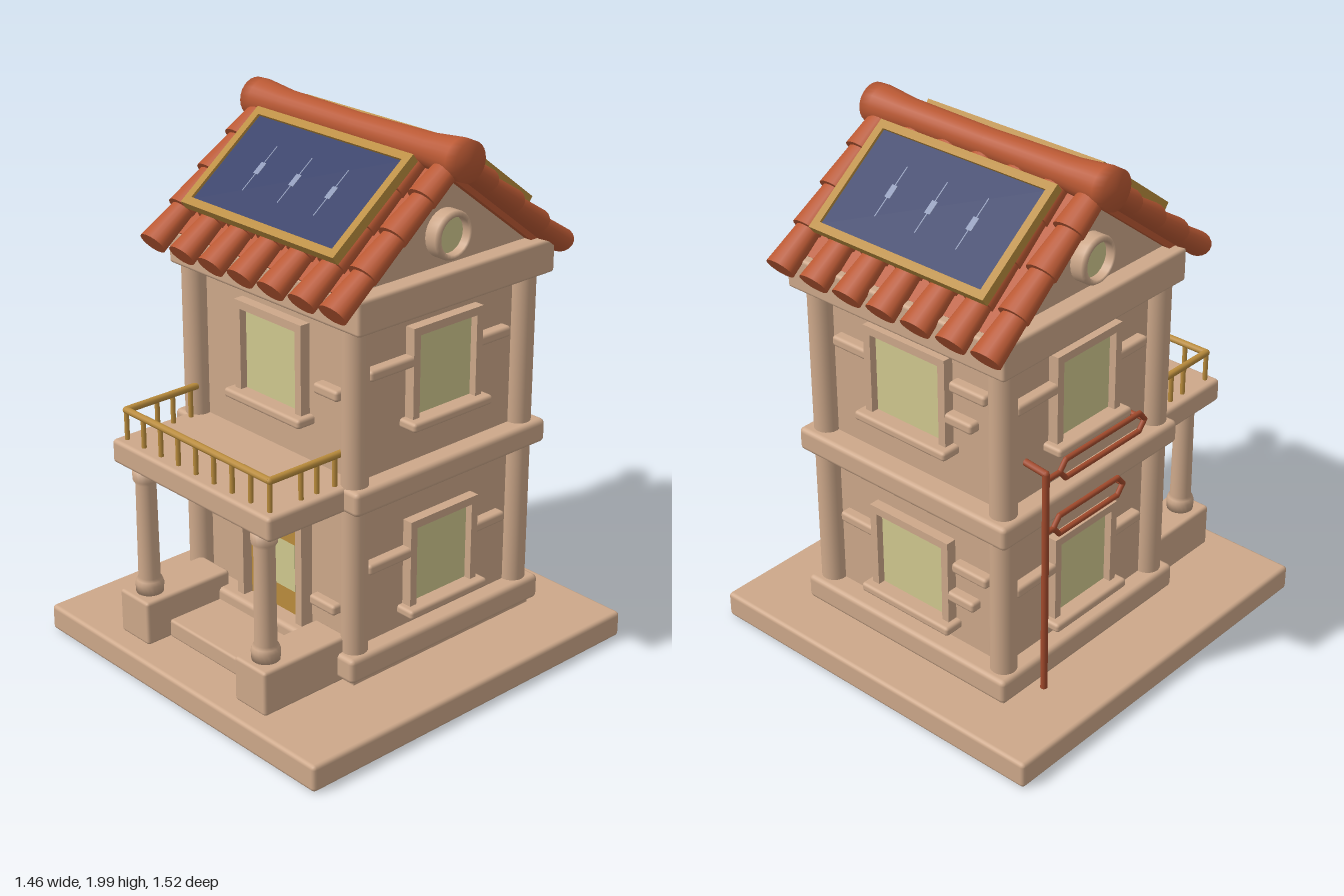
import * as THREE from 'three';
import { RoundedBoxGeometry } from 'three/addons/geometries/RoundedBoxGeometry.js';

const mat = (name, color) => Object.assign(new THREE.MeshStandardMaterial({ color }), { name });

export function createModel() {
  const stone = mat('sandstone', 0xcda88a);
  const clay = mat('terracotta', 0xb95833);
  const rust = mat('rusty pipe', 0xa24a2c);
  const gold = mat('golden trim', 0xba8c3c);
  const navy = mat('solar blue', 0x313b66);
  const glass = mat('pale glass', 0xd0c88e);
  const glint = mat('panel glint', 0x8e99b8);

  const model = new THREE.Group();
  model.name = 'house';
  const group = (name, parent) => {
    const g = new THREE.Group();
    g.name = name;
    parent.add(g);
    return g;
  };
  const add = (parent, name, geo, m, x = 0, y = 0, z = 0) => {
    const mesh = new THREE.Mesh(geo, m);
    mesh.name = name;
    mesh.position.set(x, y, z);
    parent.add(mesh);
    return mesh;
  };
  // box given by its limits on each axis, with optional rounded edges
  const block = (parent, name, m, [x0, x1], [y0, y1], [z0, z1], r = 0) => {
    const s = [x1 - x0, y1 - y0, z1 - z0];
    const geo = r ? new RoundedBoxGeometry(...s, 2, r) : new THREE.BoxGeometry(...s);
    return add(parent, name, geo, m, (x0 + x1) / 2, (y0 + y1) / 2, (z0 + z1) / 2);
  };
  const tube = (parent, name, m, pts, r, closed = false) => {
    const path = new THREE.CurvePath();
    const v = pts.map(p => new THREE.Vector3(...p));
    if (closed) v.push(v[0]);
    for (let i = 1; i < v.length; i++) path.add(new THREE.LineCurve3(v[i - 1], v[i]));
    for (const c of path.curves) {
      const dir = c.v2.clone().sub(c.v1);
      const seg = add(parent, name, new THREE.CylinderGeometry(r, r, dir.length(), 10), m);
      seg.position.copy(c.v1).addScaledVector(dir, 0.5);
      seg.quaternion.setFromUnitVectors(new THREE.Vector3(0, 1, 0), dir.normalize());
      add(parent, name + 'Joint', new THREE.SphereGeometry(r, 10, 6), m, c.v2.x, c.v2.y, c.v2.z);
    }
  };
  // flat rectangular frame facing +z, back at z = 0
  const frame = (parent, name, m, w, h, t, depth, x, y, z) => {
    const rect = (P, a, b) => {
      const p = new P();
      p.moveTo(-a, -b); p.lineTo(a, -b); p.lineTo(a, b); p.lineTo(-a, b); p.closePath();
      return p;
    };
    const s = rect(THREE.Shape, w / 2, h / 2);
    s.holes.push(rect(THREE.Path, w / 2 - t, h / 2 - t));
    return add(parent, name, new THREE.ExtrudeGeometry(s, { depth, bevelEnabled: false }), m, x, y, z);
  };

  // ground slab
  block(model, 'base', stone, [-0.73, 0.73], [0.01, 0.11], [-0.76, 0.76], 0.015);

  // walls, bands and corner posts
  const house = group('building', model);
  house.position.set(-0.01, 0, -0.12);
  block(house, 'walls', stone, [-0.41, 0.41], [0.11, 1.5], [-0.385, 0.385]);
  block(house, 'plinth', stone, [-0.48, 0.48], [0.13, 0.225], [-0.47, 0.47], 0.018);
  block(house, 'footing', stone, [-0.455, 0.455], [0.11, 0.14], [-0.44, 0.44]);
  block(house, 'floorBand', stone, [-0.485, 0.485], [0.77, 0.86], [-0.47, 0.455], 0.018);
  block(house, 'topBand', stone, [-0.49, 0.49], [1.42, 1.545], [-0.475, 0.455], 0.012);
  for (const x of [-0.415, 0.415]) for (const z of [-0.395, 0.4])
    add(house, 'cornerPost', new THREE.CylinderGeometry(0.048, 0.048, 1.32, 20), stone, x, 0.8, z);

  // windows with frame, sill and raised wall courses on both sides
  const windowSet = (angle, dist, w, y, courses, protrude = 0.04) => {
    const g = group('window', house);
    g.rotation.y = angle;
    const face = new THREE.Group();
    face.position.z = dist;
    g.add(face);
    frame(face, 'windowFrame', stone, w + 0.06, 0.36, 0.03, protrude, 0, y, 0);
    block(face, 'windowGlass', glass, [-w / 2, w / 2], [y - 0.15, y + 0.15], [0.003, 0.012]);
    block(face, 'windowSill', stone, [-w / 2 - 0.055, w / 2 + 0.055], [y - 0.185, y - 0.15], [-0.01, 0.075], 0.012);
    for (const [x0, x1, cy] of courses)
      block(face, 'wallCourse', stone, [x0, x1], [cy - 0.02, cy + 0.02], [-0.02, 0.04], 0.012);
  };
  for (const y of [1.185, 0.465]) {
    const c = y + 0.06;
    const side = [[-0.36, -0.15, c], [0.15, 0.31, c - 0.015]];
    for (const a of [1, -1]) windowSet(a * Math.PI / 2, 0.41, 0.27, y, side);
    windowSet(Math.PI, 0.385, 0.31, y, [[-0.34, -0.16, c], [0.16, 0.3, c - 0.1], [0.2, 0.36, c + 0.03]]);
  }
  windowSet(0, 0.385, 0.285, 1.185, [[0.23, 0.35, 1.16]]);
  block(house, 'wallCourse', stone, [0.2, 0.33], [0.32, 0.36], [0.36, 0.42], 0.012);

  // door
  const door = group('door', house);
  frame(door, 'doorFrame', stone, 0.35, 0.5, 0.033, 0.05, 0.005, 0.4, 0.385);
  block(door, 'doorLeaf', gold, [-0.14, 0.15], [0.17, 0.52], [0.38, 0.395]);
  block(door, 'doorLintel', gold, [-0.14, 0.15], [0.515, 0.62], [0.38, 0.41]);
  block(door, 'doorGlass', glass, [-0.075, 0.105], [0.32, 0.515], [0.393, 0.4]);

  // gables with round windows
  const tri = new THREE.Shape([[-0.42, 1.53], [0.42, 1.53], [0, 1.87]].map(p => new THREE.Vector2(...p)));
  const gable = add(house, 'gable', new THREE.ExtrudeGeometry(tri, { depth: 0.84, bevelEnabled: false }), stone, -0.42, 0, 0.008);
  gable.rotation.y = Math.PI / 2;
  for (const s of [-1, 1]) {
    const g = group('atticWindow', house);
    g.position.set(s * 0.42, 1.66, 0.008);
    g.rotation.y = s * Math.PI / 2;
    const ring = [[0.066, 0], [0.086, 0], [0.086, 0.045], [0.079, 0.055], [0.066, 0.055], [0.066, 0]].map(p => new THREE.Vector2(...p));
    const geo = new THREE.LatheGeometry(ring, 28).rotateX(Math.PI / 2);
    const m = add(g, 'atticFrame', geo, stone);
    m.material = stone;
    add(g, 'atticGlass', new THREE.CylinderGeometry(0.068, 0.068, 0.009, 28).rotateX(Math.PI / 2), glass, 0, 0, 0.02);
  }

  // roof: two mirrored slopes, local +z running down the slope
  const roof = group('roof', model);
  roof.position.set(-0.01, 1.915, -0.112);
  const tilt = 0.655, len = 0.655, n = 4, step = len / n;
  const tile = new THREE.CylinderGeometry(0.047, 0.06, step + 0.025, 18).rotateX(-Math.PI / 2).scale(1, 0.74, 1);
  for (const turn of [0, Math.PI]) {
    const side = group('roofSide', roof);
    side.rotation.y = turn;
    const slope = group('roofSlope', side);
    slope.rotation.x = tilt;
    block(slope, 'roofDeck', clay, [-0.45, 0.45], [-0.05, -0.02], [0, 0.58]);
    for (let i = -3; i <= 3; i++) for (let k = 0; k < n; k++) {
      const t = add(slope, 'roofTile', tile, clay, i * 0.154, Math.abs(i) === 3 ? 0.008 : 0, (k + 0.5) * step);
      t.rotation.x = -0.05;
    }
    // solar panel
    const panel = group('solarPanel', slope);
    panel.position.set(0, 0.075, 0.295);
    block(panel, 'panelBacking', gold, [-0.375, 0.375], [-0.018, 0.002], [-0.21, 0.21]);
    block(panel, 'panelCells', navy, [-0.36, 0.36], [0.002, 0.008], [-0.195, 0.195]);
    const f = frame(panel, 'panelFrame', gold, 0.775, 0.445, 0.03, 0.036, 0, -0.018, 0);
    f.rotation.x = -Math.PI / 2;
    for (const x of [-0.18, 0, 0.18]) {
      block(panel, 'cellGlint', glint, [x - 0.012, x + 0.012], [0.007, 0.0095], [-0.025, 0.025]);
      block(panel, 'cellLine', glint, [x - 0.002, x + 0.002], [0.007, 0.009], [-0.1, 0.1]);
    }
  }
  const ridgeLine = [[0, -0.535], [0.071, -0.535], [0.073, -0.49], [0.06, -0.36], [0.054, 0], [0.06, 0.36], [0.073, 0.49], [0.071, 0.535], [0, 0.535]];
  add(roof, 'ridgeTile', new THREE.LatheGeometry(ridgeLine.map(p => new THREE.Vector2(...p)), 24).rotateZ(-Math.PI / 2), clay, 0, 0.012, 0);

  // porch and balcony
  const porch = group('porch', model);
  block(porch, 'balconySlab', stone, [-0.435, 0.41], [0.77, 0.86], [0.2, 0.665], 0.015);
  block(porch, 'porchFloor', stone, [-0.25, 0.24], [0.11, 0.18], [0.25, 0.58], 0.01);
  const col = [[0, 0], [0.05, 0], [0.052, 0.035], [0.047, 0.05], [0.04, 0.06], [0.037, 0.43], [0.046, 0.445], [0.048, 0.49], [0, 0.49]];
  for (const x of [-0.325, 0.315]) {
    block(porch, 'pedestal', stone, [x - 0.08, x + 0.08], [0.11, 0.28], [0.3, 0.68], 0.012);
    add(porch, 'column', new THREE.LatheGeometry(col.map(p => new THREE.Vector2(...p)), 20), stone, x, 0.28, 0.605);
  }
  const railing = group('balconyRailing', porch);
  tube(railing, 'topRail', gold, [[-0.395, 0.972, 0.31], [-0.395, 0.972, 0.625], [0.37, 0.972, 0.625], [0.37, 0.972, 0.31]], 0.013);
  const baluster = new THREE.CylinderGeometry(0.009, 0.009, 0.12, 8);
  for (let i = 0; i <= 8; i++) add(railing, 'baluster', baluster, gold, -0.395 + i * 0.0956, 0.915, 0.625);
  for (const x of [-0.395, 0.37]) for (const z of [0.34, 0.42, 0.49])
    add(railing, 'baluster', baluster, gold, x, 0.915, z);

  // drain pipe with two hooped loops on the right wall
  const pipe = group('drainPipe', model);
  const px = -0.51;
  tube(pipe, 'downPipe', rust, [[px, 0.11, -0.4], [px, 0.995, -0.4], [-0.42, 1.005, -0.4]], 0.013);
  for (const [y, z0, z1] of [[0.97, -0.33, 0.12], [0.76, -0.36, 0.01]]) {
    const h = 0.036;
    tube(pipe, 'pipeLoop', rust, [[px, y - h, z0 + 0.03], [px, y - h, z1 - 0.03], [px, y, z1], [px, y + h, z1 - 0.03],
      [px, y + h, z0 + 0.03], [px, y, z0]], 0.01, true);
    tube(pipe, 'pipeBracket', rust, [[px, y, -0.4], [px, y, z0]], 0.01);
    tube(pipe, 'pipeBracket', rust, [[px, y, z1], [-0.42, y, z1]], 0.01);
  }
  return model;
}
